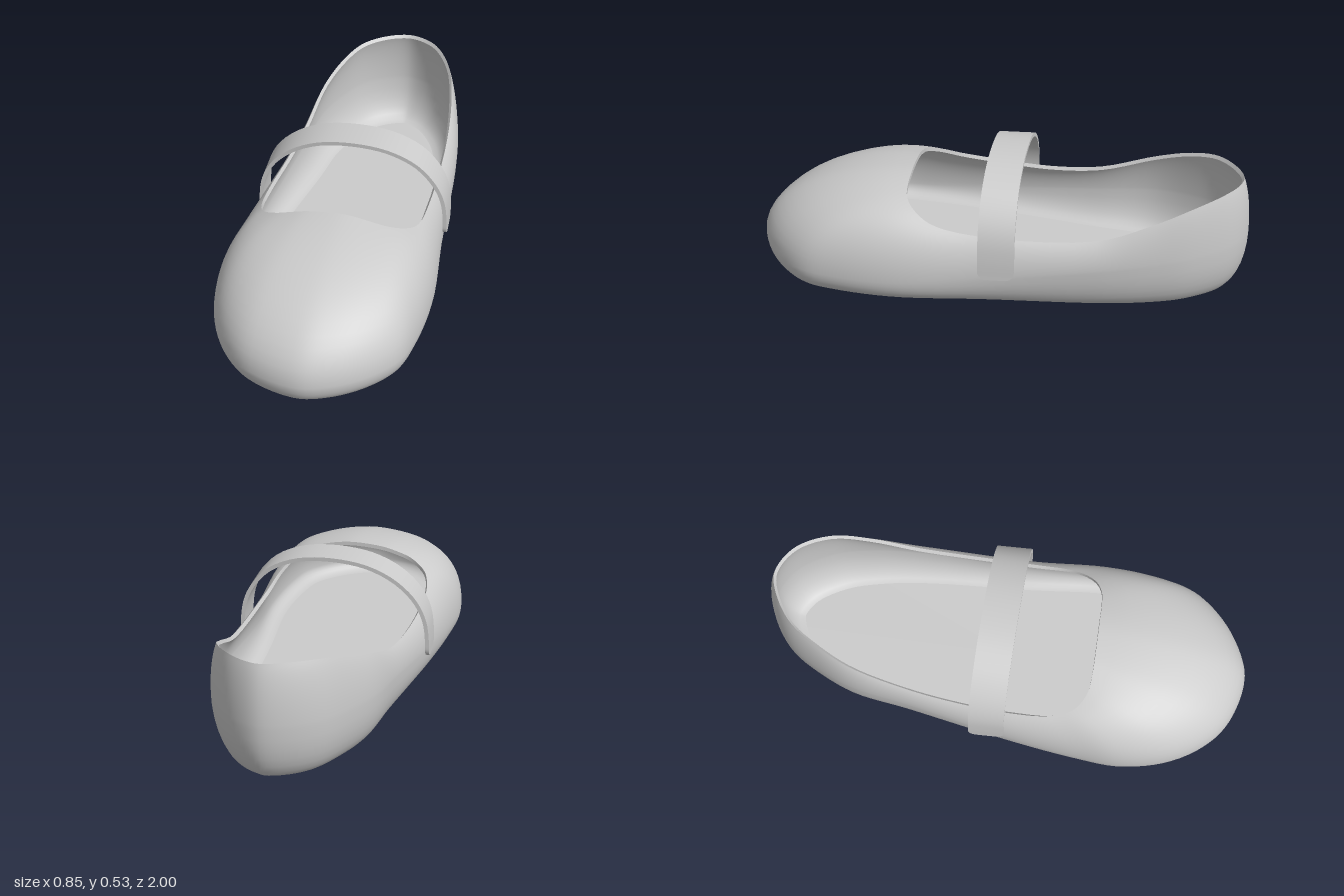
import * as THREE from 'three';
import { mergeVertices } from 'three/addons/utils/BufferGeometryUtils.js';

const lerp = THREE.MathUtils.lerp;
const smooth = THREE.MathUtils.smoothstep;
const material = new THREE.MeshStandardMaterial({ color: 0xcccccc, roughness: 0.8 });

// Widest outline (x, z) paired with the collar edge (x, y, z), heel -> right -> toe -> left
const STATIONS = [
  [0.11, -1, 0.11, 0.475, -0.965], [0, -0.97, 0.015, 0.475, -0.935],
  [-0.1, -0.9, -0.085, 0.465, -0.865], [-0.18, -0.78, -0.155, 0.435, -0.76],
  [-0.245, -0.63, -0.215, 0.38, -0.62], [-0.285, -0.4, -0.255, 0.3, -0.4],
  [-0.325, -0.19, -0.285, 0.275, -0.19], [-0.37, 0.05, -0.31, 0.285, 0.05],
  [-0.41, 0.32, -0.31, 0.305, 0.2], [-0.425, 0.5, -0.285, 0.335, 0.29],
  [-0.39, 0.69, -0.22, 0.37, 0.34], [-0.31, 0.84, -0.15, 0.393, 0.352],
  [-0.2, 0.94, -0.09, 0.407, 0.356], [-0.01, 1, 0.02, 0.416, 0.36],
  [0.11, 0.975, 0.08, 0.413, 0.362], [0.24, 0.9, 0.15, 0.4, 0.365],
  [0.345, 0.785, 0.22, 0.38, 0.36], [0.39, 0.64, 0.275, 0.355, 0.33],
  [0.42, 0.4, 0.325, 0.315, 0.25], [0.41, 0.05, 0.35, 0.285, 0.05],
  [0.41, -0.4, 0.365, 0.3, -0.4], [0.39, -0.61, 0.355, 0.375, -0.61],
  [0.35, -0.77, 0.325, 0.437, -0.76], [0.27, -0.91, 0.255, 0.47, -0.885],
  [0.19, -0.975, 0.18, 0.475, -0.945],
];
const outline = new THREE.CatmullRomCurve3(STATIONS.map(s => new THREE.Vector3(s[0], 0, s[1])), true);
const collar = new THREE.CatmullRomCurve3(STATIONS.map(s => new THREE.Vector3(s[2], s[3], s[4])), true);

const WALL = 0.016, FLOOR = 0.04, AROUND = 120;

// Shape values at one place around the shoe
function station(u) {
  const o = outline.getPoint(u), c = collar.getPoint(u), t = outline.getTangent(u);
  const back = 1 - smooth(o.z, -1, 0.5);
  return {
    o, c,
    out: new THREE.Vector3(-t.z, 0, t.x),
    bulge: lerp(0.09, 0.23, back),              // height of the widest line
    inset: lerp(0.055, 0.09, back),             // rounding under the widest line
    turn: lerp(0.95, 1.5, smooth(c.z, 0.05, 0.35)), // how far the wall curls over
  };
}

// Rounded lower wall, s = 0 at the sole and 1 at the widest line
function lower(st, s, inner) {
  const a = s * Math.PI / 2, base = inner ? FLOOR : 0;
  const p = st.o.clone().addScaledVector(st.out, -st.inset * (1 - Math.sin(a)) - (inner ? WALL : 0));
  p.y = base + (st.bulge - base) * (1 - Math.cos(a));
  return p;
}

// Upper wall from the widest line to the collar
function upper(st, s, inner) {
  const a = s * st.turn;
  const p = st.o.clone().lerp(st.c, (1 - Math.cos(a)) / (1 - Math.cos(st.turn)));
  p.y = lerp(st.bulge, st.c.y, Math.sin(a) / Math.sin(st.turn));
  if (inner) {
    p.addScaledVector(st.out, -WALL * Math.cos(a));
    p.y -= WALL * Math.sin(a);
  }
  return p;
}

// Mesh from rows of points; every row has the same length
function skin(name, rows) {
  const pos = [], index = [], n = rows[0].length;
  rows.forEach(r => r.forEach(p => pos.push(p.x, p.y, p.z)));
  for (let i = 0; i < rows.length - 1; i++) {
    for (let j = 0; j < n - 1; j++) {
      const a = i * n + j, b = a + n;
      index.push(a, b, b + 1, a, b + 1, a + 1);
    }
  }
  let geo = new THREE.BufferGeometry();
  geo.setAttribute('position', new THREE.Float32BufferAttribute(pos, 3));
  geo.setIndex(index);
  geo = mergeVertices(geo, 1e-5);
  geo.computeVertexNormals();
  const mesh = new THREE.Mesh(geo, material);
  mesh.name = name;
  return mesh;
}

// Closed ring of profiles around the shoe
function ring(name, profile) {
  const rows = [];
  for (let i = 0; i <= AROUND; i++) rows.push(profile(station((i % AROUND) / AROUND)));
  return skin(name, rows);
}

const steps = n => Array.from({ length: n + 1 }, (_, i) => i / n);

// Band over the instep with rounded tab ends
function makeStrap() {
  const path = new THREE.CatmullRomCurve3([
    [-0.362, 0.135], [-0.36, 0.2], [-0.35, 0.28], [-0.325, 0.345], [-0.285, 0.4], [-0.21, 0.46],
    [-0.1, 0.505], [0.05, 0.52], [0.18, 0.505], [0.285, 0.46], [0.345, 0.405], [0.385, 0.345],
    [0.405, 0.29], [0.415, 0.22], [0.418, 0.135],
  ].map(([x, y]) => new THREE.Vector3(x, y, 0)));
  const length = path.getLength(), half = 0.072, r = 0.035, thick = 0.008;
  const faces = { strapOuter: [], strapInner: [], strapFront: [], strapBack: [] };
  for (const k of steps(56)) {
    const t = 0.5 - 0.5 * Math.cos(k * Math.PI);
    const p = path.getPointAt(t), d = path.getTangentAt(t);
    const end = Math.min(r, length * Math.min(t, 1 - t));
    const w = half - r + Math.sqrt(Math.max(0, r * r - (r - end) ** 2));
    const zc = lerp(-0.055, -0.013, (p.x + 0.36) / 0.78);
    const corner = (side, z) => new THREE.Vector3(p.x - d.y * thick * side, p.y + d.x * thick * side, zc + z * w);
    const of = corner(1, 1), ob = corner(1, -1), inF = corner(-1, 1), inB = corner(-1, -1);
    faces.strapOuter.push([of, ob]);
    faces.strapInner.push([inB, inF]);
    faces.strapFront.push([inF, of]);
    faces.strapBack.push([ob, inB]);
  }
  const strap = new THREE.Group();
  strap.name = 'strap';
  for (const [name, rows] of Object.entries(faces)) strap.add(skin(name, rows));
  // Close the two tab ends
  for (const [name, i] of [['strapRightEnd', 0], ['strapLeftEnd', 56]]) {
    const [of, ob] = faces.strapOuter[i], [inB, inF] = faces.strapInner[i];
    strap.add(skin(name, i ? [[of, ob], [inF, inB]] : [[inF, inB], [of, ob]]));
  }
  return strap;
}

export function createModel() {
  const shoe = new THREE.Group();
  shoe.name = 'shoe';

  // Flat sole and insole
  const soleCentre = new THREE.Vector3(0.03, 0, 0);
  const insoleCentre = new THREE.Vector3(0.03, FLOOR, 0);
  shoe.add(ring('sole', st => [soleCentre, lower(st, 0, false)]));
  shoe.add(ring('insole', st => [lower(st, 0, true), insoleCentre]));

  // Outer shell, from the sole edge up to the collar
  shoe.add(ring('upper', st => [
    ...steps(8).map(s => lower(st, s, false)),
    ...steps(14).slice(1).map(s => upper(st, s, false)),
  ]));

  // Thin edge around the opening
  shoe.add(ring('collarRim', st => [upper(st, 1, false), upper(st, 1, true)]));

  // Inner wall, from the collar down to the insole
  shoe.add(ring('lining', st => [
    ...steps(14).map(s => upper(st, 1 - s, true)),
    ...steps(6).slice(1).map(s => lower(st, 1 - s, true)),
  ]));

  shoe.add(makeStrap());
  return shoe;
}
